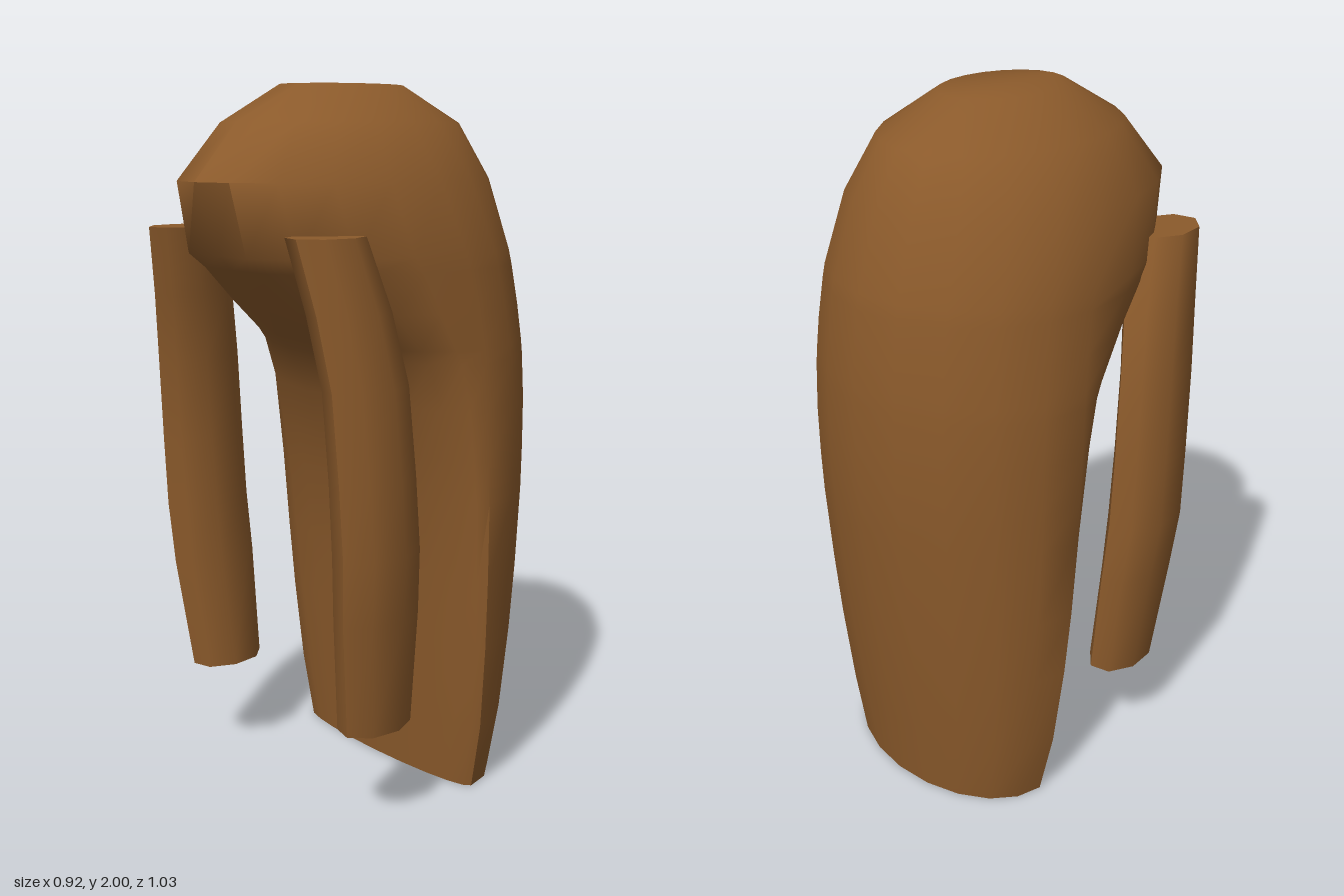
import * as THREE from 'three';
import { toCreasedNormals } from 'three/addons/utils/BufferGeometryUtils.js';

// Closed solid through rings of points, listed from bottom to top.
function loft(rings) {
  const n = rings[0].length;
  const pos = [];
  const idx = [];
  rings.forEach((ring) => ring.forEach((p) => pos.push(...p)));
  for (let j = 0; j < rings.length - 1; j++) {
    for (let i = 0; i < n; i++) {
      const k = (i + 1) % n;
      const a = j * n + i, b = j * n + k, c = b + n, d = a + n;
      idx.push(a, b, c, a, c, d);
    }
  }
  // flat end caps
  const last = (rings.length - 1) * n;
  for (let i = 1; i < n - 1; i++) {
    idx.push(0, i + 1, i, last, last + i, last + i + 1);
  }
  const g = new THREE.BufferGeometry();
  g.setAttribute('position', new THREE.Float32BufferAttribute(pos, 3));
  g.setIndex(idx);
  return toCreasedNormals(g, 0.95);
}

export function createModel() {
  const model = new THREE.Group();
  model.name = 'longHair';
  const brown = new THREE.MeshStandardMaterial({ color: 0x8b5a2b });
  brown.name = 'hairBrown';

  const add = (name, rings) => {
    const mesh = new THREE.Mesh(loft(rings), brown);
    mesh.name = name;
    model.add(mesh);
  };

  // Main mass: y, half width, back z, widest z, front z, dent at front centre
  const sections = [
    [0, 0.36, -0.41, -0.17, -0.12, 0],
    [0.2, 0.4, -0.435, -0.16, -0.105, 0],
    [0.45, 0.425, -0.465, -0.147, -0.087, 0],
    [0.65, 0.437, -0.485, -0.138, -0.07, 0],
    [0.88, 0.444, -0.505, -0.13, -0.038, 0],
    [1.0, 0.444, -0.512, -0.125, -0.005, 0],
    [1.14, 0.443, -0.515, -0.12, 0.04, 0],
    [1.27, 0.438, -0.512, -0.11, 0.11, 0],
    [1.31, 0.435, -0.51, -0.105, 0.16, 0],
    [1.41, 0.425, -0.502, -0.09, 0.29, 0],
    [1.52, 0.413, -0.487, -0.07, 0.42, 0.02],
    [1.56, 0.408, -0.48, -0.06, 0.475, 0.035],
    [1.75, 0.37, -0.42, 0, 0.515, 0],
    [1.9, 0.28, -0.34, 0.02, 0.38, 0],
    [2, 0.14, -0.17, 0.02, 0.21, 0],
  ];
  const sides = 20;
  add('hairBody', sections.map(([y, hw, back, mid, front, dent]) =>
    Array.from({ length: sides }, (_, i) => {
      const t = (i / sides) * Math.PI * 2;
      const c = Math.cos(t);
      const z = mid + c * (c > 0 ? front - mid : mid - back);
      return [hw * Math.sin(t), y, i === 0 ? z - dent : z];
    })));

  // Front locks: y, centre x, centre z, x radius, z radius
  const lock = [
    [0.295, 0.337, 0.197, 0.077, 0.115],
    [0.62, 0.365, 0.217, 0.08, 0.134],
    [0.8, 0.377, 0.228, 0.087, 0.134],
    [1.0, 0.375, 0.24, 0.083, 0.133],
    [1.24, 0.366, 0.257, 0.08, 0.131],
    [1.43, 0.338, 0.288, 0.083, 0.125],
    [1.62, 0.303, 0.335, 0.084, 0.113],
  ];
  for (const [name, side] of [['leftLock', 1], ['rightLock', -1]]) {
    add(name, lock.map(([y, cx, cz, rx, rz]) =>
      Array.from({ length: 8 }, (_, i) => {
        const t = (side * i * Math.PI) / 4 + 0.21;
        return [side * (cx + rx * Math.sin(t)), y, cz + rz * Math.cos(t)];
      })));
  }
  return model;
}
